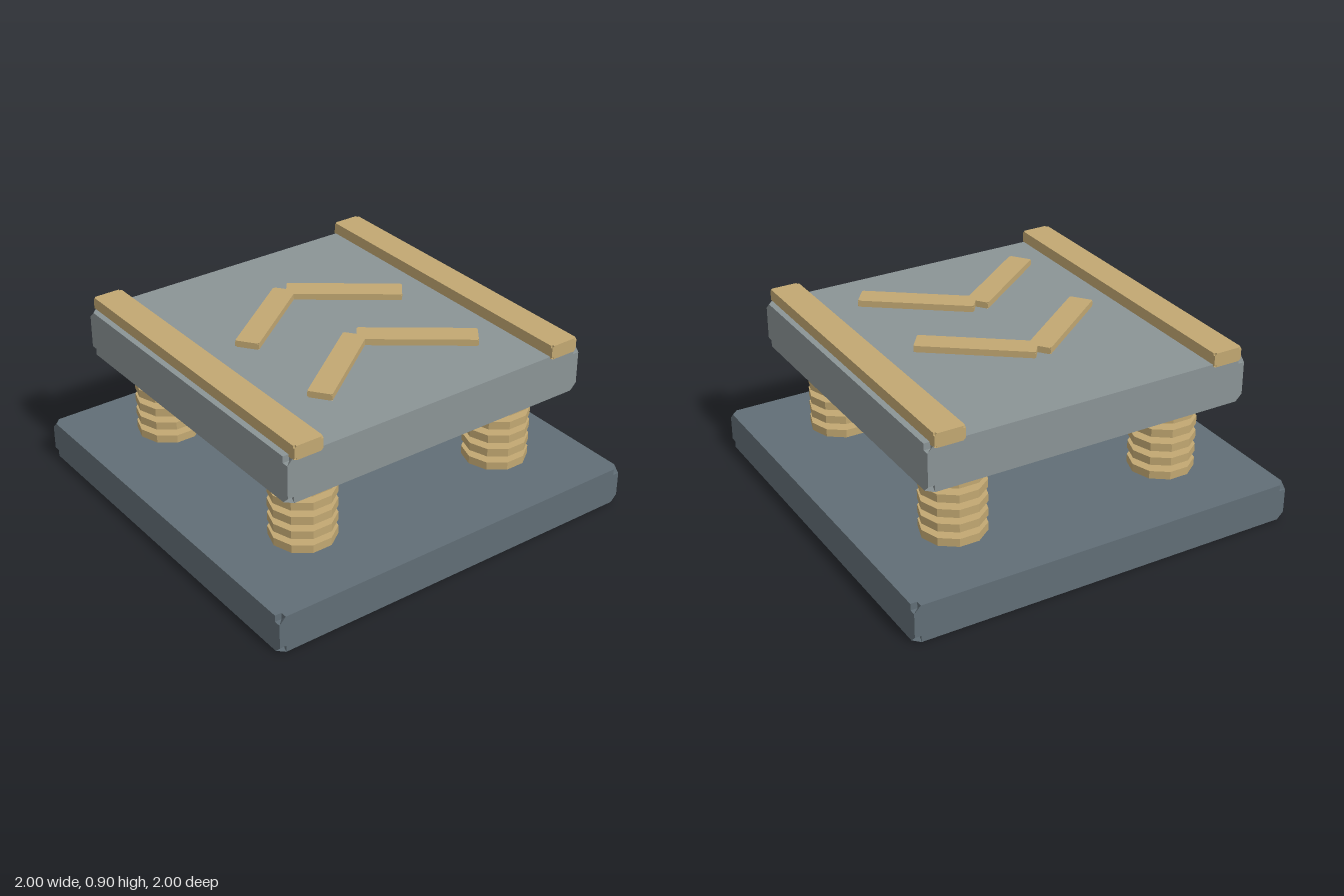
import * as THREE from 'three';

const paint = (color) => new THREE.MeshStandardMaterial({ color, flatShading: true });

// Box whose eight corners are pushed inward, leaving small notches of size r
function notchedBox(w, h, d, r) {
  const geo = new THREE.BoxGeometry(w, h, d, 3, 3, 3);
  const pos = geo.attributes.position;
  const half = [w / 2, h / 2, d / 2];
  for (let i = 0; i < pos.count; i++) {
    const p = [pos.getX(i), pos.getY(i), pos.getZ(i)];
    const isCorner = p.every((v, k) => Math.abs(v) > half[k] - 1e-4);
    const q = p.map((v, k) => {
      const outer = Math.abs(v) > half[k] - 1e-4;
      return Math.sign(v) * (outer && !isCorner ? half[k] : half[k] - r);
    });
    pos.setXYZ(i, ...q);
  }
  geo.computeVertexNormals();
  return geo;
}

export function createModel() {
  const model = new THREE.Group();
  model.name = 'springPad';
  const dark = paint(0x616e76);
  const grey = paint(0x8b9496);
  const tan = paint(0xc2a872);

  const add = (name, geo, mat, x, y, z, parent = model) => {
    const mesh = new THREE.Mesh(geo, mat);
    mesh.name = name;
    mesh.position.set(x, y, z);
    parent.add(mesh);
    return mesh;
  };

  // Base slab and raised platform
  add('base', notchedBox(2, 0.19, 2, 0.033), dark, 0, 0.095, 0);
  add('platform', notchedBox(1.66, 0.23, 1.66, 0.033), grey, 0, 0.725, 0);

  // Four posts, each wrapped in a stack of ten-sided coils
  const postGeo = new THREE.CylinderGeometry(0.067, 0.067, 0.46, 8);
  const coilGeo = new THREE.CylinderGeometry(0.161, 0.161, 0.041, 10).rotateY(Math.PI / 2);
  for (const sx of [-1, 1]) {
    for (const sz of [-1, 1]) {
      const spring = new THREE.Group();
      spring.name = 'spring';
      spring.position.set(sx * 0.572, 0, sz * 0.572);
      model.add(spring);
      add('post', postGeo, grey, 0, 0.4, 0, spring);
      for (let i = 0; i < 6; i++) add('coil', coilGeo, tan, 0, 0.236 + i * 0.0757, 0, spring);
    }
  }

  // Side rails along the platform
  const railGeo = notchedBox(0.15, 0.07, 1.68, 0.011);
  for (const sx of [-1, 1]) add('rail', railGeo, tan, sx * 0.725, 0.863, 0);

  // Two chevrons made from mirrored bars, pointing to the back
  const barGeo = notchedBox(0.565, 0.032, 0.116, 0.006);
  for (const z of [-0.195, 0.375]) {
    const chevron = new THREE.Group();
    chevron.name = 'chevron';
    model.add(chevron);
    for (const s of [-1, 1]) {
      add('chevronBar', barGeo, tan, s * 0.23, 0.883, z, chevron).rotation.y = -s * 0.646;
    }
  }
  return model;
}
